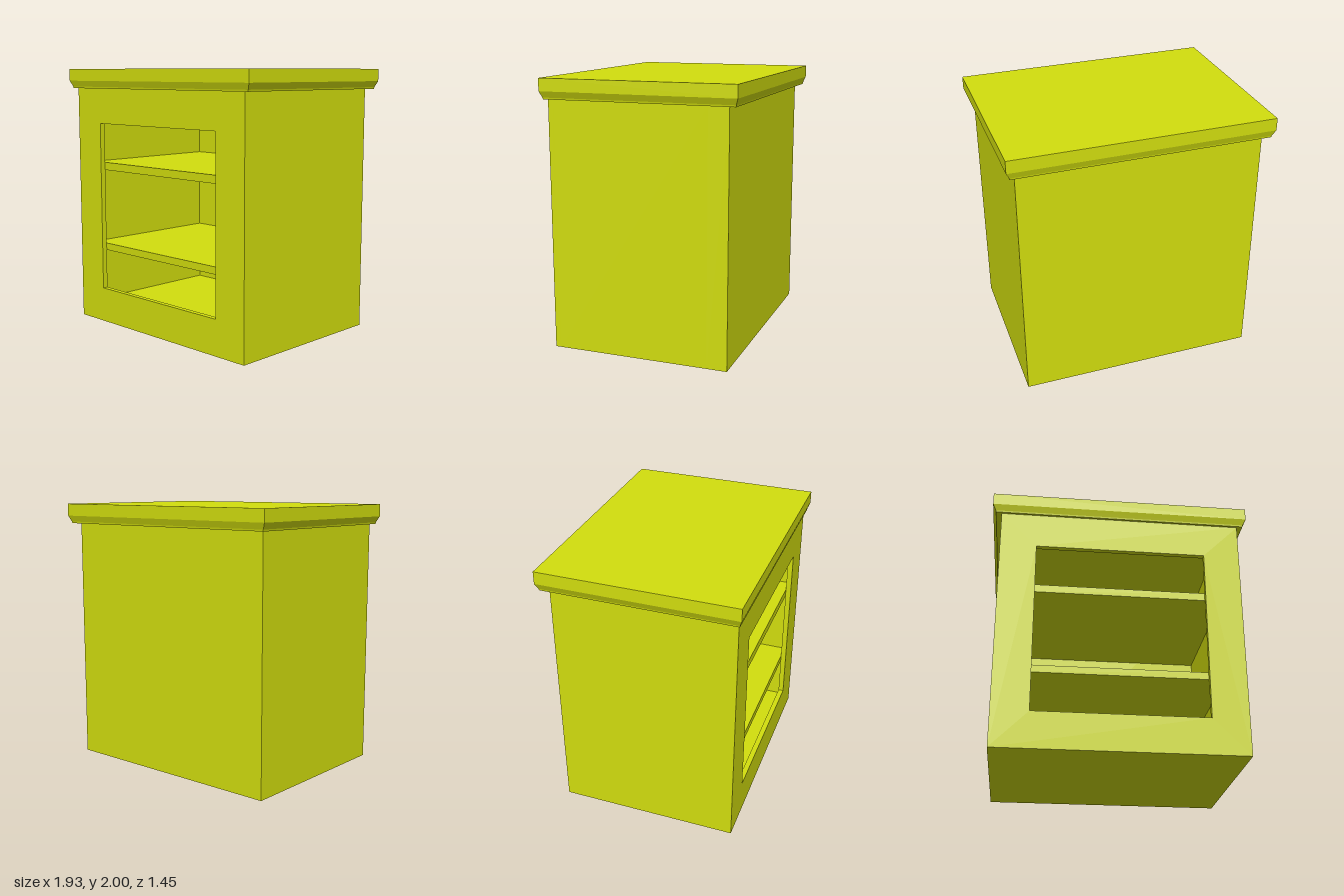
import * as THREE from 'three';

const material = new THREE.MeshStandardMaterial({ color: 0xd2de0e, flatShading: true });

// Rectangular frame with a rectangular hole, extruded along z
function frame(halfWidth, height, holeHalf, holeBottom, holeTop, z0, z1) {
  const rect = (Type, hw, y0, y1) => new Type([
    new THREE.Vector2(-hw, y0), new THREE.Vector2(hw, y0),
    new THREE.Vector2(hw, y1), new THREE.Vector2(-hw, y1),
  ]);
  const shape = rect(THREE.Shape, halfWidth, 0, height);
  shape.holes.push(rect(THREE.Path, holeHalf, holeBottom, holeTop));
  const geometry = new THREE.ExtrudeGeometry(shape, { depth: z1 - z0, bevelEnabled: false });
  return geometry.translate(0, 0, z0);
}

// Box given by its half width and its y and z ranges
function box(halfWidth, y0, y1, z0, z1) {
  return new THREE.BoxGeometry(halfWidth * 2, y1 - y0, z1 - z0)
    .translate(0, (y0 + y1) / 2, (z0 + z1) / 2);
}

export function createModel() {
  const group = new THREE.Group();
  const add = (name, geometry) => {
    const mesh = new THREE.Mesh(geometry, material);
    mesh.name = name;
    group.add(mesh);
  };

  // Thick-walled carcass, closed at the back
  add('carcass', frame(0.9, 1.85, 0.75, 0.15, 1.7, -0.5, 0.65));
  add('backPanel', box(0.9, 0, 1.85, -0.65, -0.5));

  // Thin front frame, narrower opening than the cavity behind it
  add('faceFrame', frame(0.9, 1.85, 0.63, 0.27, 1.58, 0.65, 0.69));

  // Two shelves
  for (const [name, y0, y1] of [['lowerShelf', 0.575, 0.63], ['upperShelf', 1.215, 1.275]]) {
    add(name, box(0.75, y0, y1, -0.5, 0.65));
  }

  // Moulded top: a four-sided lathe stretched to a rectangle
  const profile = [[0, 1.85], [0.974, 1.85], [0.977, 1.863], [1, 1.908], [1, 2], [0, 2]]
    .map(([r, y]) => new THREE.Vector2(r * Math.SQRT2, y));
  const top = new THREE.LatheGeometry(profile, 4, Math.PI / 4)
    .scale(0.967, 1, 0.725).toNonIndexed();
  top.computeVertexNormals();
  add('top', top);

  return group;
}
